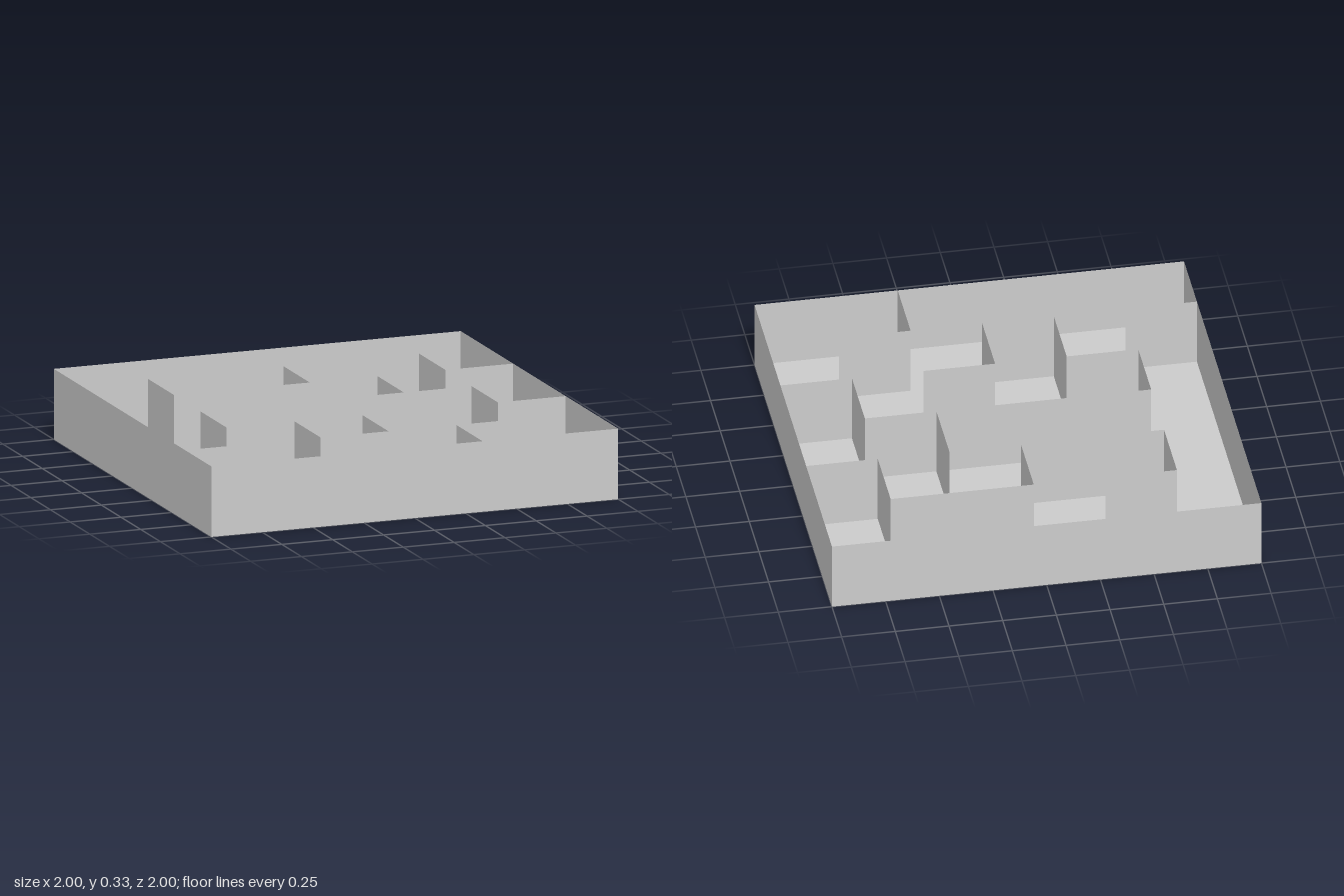
import * as THREE from 'three';

const CELL = 1 / 3;   // the maze is a 6 x 6 grid of cells
const HEIGHT = 0.333;

// Wall runs as grid corners: column counted from -x, row counted from the front (+z)
const OUTER = [[0, 0], [6, 0], [6, 6], [0, 6], [0, 0]];
const INNER = {
  frontLeftStub: [[0, 1], [1, 1]],
  frontStub: [[4, 0], [4, 1], [5, 1]],
  frontMeander: [[1, 3], [1, 2], [2, 2], [2, 1], [3, 1], [3, 2], [4, 2]],
  middleWall: [[1, 3], [5, 3], [5, 2], [6, 2]],
  middleSpur: [[4, 3], [4, 4]],
  backMeander: [[2, 5], [1, 5], [1, 4], [3, 4], [3, 5], [5, 5], [5, 4], [6, 4]],
};

export function createModel() {
  const model = new THREE.Group();
  model.name = 'maze';
  const material = new THREE.MeshStandardMaterial({
    color: 0xcccccc, flatShading: true, side: THREE.DoubleSide,
  });

  // Thin upright panels joining successive grid corners
  function addWalls(name, points) {
    const group = new THREE.Group();
    group.name = name;
    for (let k = 1; k < points.length; k++) {
      const [[c0, r0], [c1, r1]] = [points[k - 1], points[k]];
      const length = Math.hypot(c1 - c0, r1 - r0) * CELL;
      const panel = new THREE.Mesh(new THREE.PlaneGeometry(length, HEIGHT), material);
      panel.name = 'wallPanel';
      panel.position.set((c0 + c1) / 2 * CELL - 1, HEIGHT / 2, 1 - (r0 + r1) / 2 * CELL);
      panel.rotation.y = Math.atan2(r1 - r0, c1 - c0);
      group.add(panel);
    }
    model.add(group);
  }

  // Floor
  const floor = new THREE.Mesh(new THREE.PlaneGeometry(2, 2), material);
  floor.name = 'floor';
  floor.rotation.x = -Math.PI / 2;
  model.add(floor);

  // Surrounding wall and the passages inside
  addWalls('outerWall', OUTER);
  for (const [name, points] of Object.entries(INNER)) addWalls(name, points);

  return model;
}
